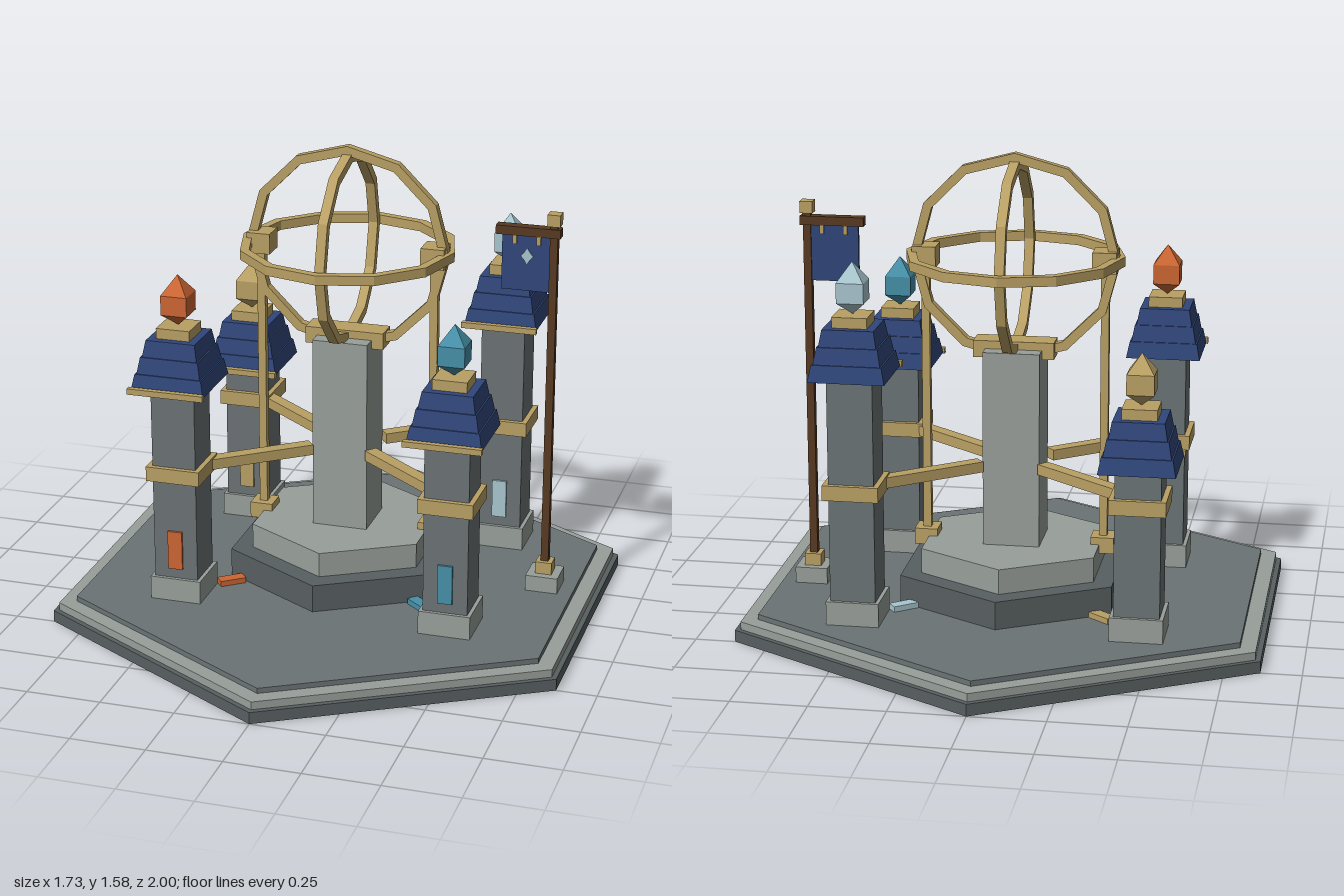
import * as THREE from 'three';

const mat = (name, color) => {
  const m = new THREE.MeshStandardMaterial({ color, flatShading: true });
  m.name = name;
  return m;
};

export function createModel() {
  const stone = mat('stone', 0x6b7375);
  const darkStone = mat('dark stone', 0x585f61);
  const paleStone = mat('pale stone', 0x989f9a);
  const roofBlue = mat('roof blue', 0x30467a);
  const brass = mat('brass', 0xb9a064);
  const wood = mat('wood', 0x583a22);
  const orange = mat('orange', 0xcc6633);
  const teal = mat('teal', 0x4690a8);
  const ice = mat('ice blue', 0xa9c6cf);

  const model = new THREE.Group();
  model.name = 'observatory';
  const CZ = -0.06; // middle of the dais and rings

  const add = (parent, name, geo, material, x = 0, y = 0, z = 0) => {
    const mesh = new THREE.Mesh(geo, material);
    mesh.name = name;
    mesh.position.set(x, y, z);
    parent.add(mesh);
    return mesh;
  };
  // Box given by its bottom and top heights
  const box = (parent, name, material, w, d, y0, y1, x = 0, z = 0) =>
    add(parent, name, new THREE.BoxGeometry(w, y1 - y0, d), material, x, (y0 + y1) / 2, z);
  const hex = (name, material, r, y0, y1, z = 0) =>
    add(model, name, new THREE.CylinderGeometry(r, r, y1 - y0, 6), material, 0, (y0 + y1) / 2, z);
  // Square frustum with sides along the axes
  const frustum = (parent, name, material, wBottom, wTop, y0, y1) => {
    const geo = new THREE.CylinderGeometry(wTop * Math.SQRT1_2, wBottom * Math.SQRT1_2, y1 - y0, 4);
    return add(parent, name, geo.rotateY(Math.PI / 4), material, 0, (y0 + y1) / 2, 0);
  };

  // Platform and dais
  hex('platformFoot', darkStone, 1, 0, 0.04);
  hex('platformRim', paleStone, 0.98, 0.04, 0.067);
  hex('platformFloor', stone, 0.92, 0.067, 0.085);
  hex('daisLower', darkStone, 0.41, 0.085, 0.18, CZ - 0.005);
  hex('daisUpper', paleStone, 0.335, 0.18, 0.265, CZ - 0.005);
  box(model, 'column', paleStone, 0.19, 0.19, 0.265, 0.93, 0, CZ);
  box(model, 'cradle', brass, 0.27, 0.085, 0.9, 0.957, 0, CZ);

  // Three crossed twelve-sided rings of square section
  const rings = new THREE.Group();
  rings.name = 'ringSphere';
  rings.position.set(0, 1.233, CZ - 0.003);
  model.add(rings);
  const ring = (name, outer) => {
    const h = 0.016, inner = outer - 0.031;
    const profile = [[inner, -h], [outer, -h], [outer, h], [inner, h], [inner, -h]]
      .map(([x, y]) => new THREE.Vector2(x, y));
    return add(rings, name, new THREE.LatheGeometry(profile, 12), brass);
  };
  ring('horizonRing', 0.365);
  ring('frontRing', 0.35).rotation.x = Math.PI / 2;
  ring('sideRing', 0.326).rotation.z = Math.PI / 2;

  // Posts carrying the rings
  for (const s of [-1, 1]) {
    box(model, 'ringPost', brass, 0.027, 0.027, 0.265, 1.235, s * 0.3, CZ);
    box(model, 'postFoot', brass, 0.078, 0.08, 0.235, 0.29, s * 0.3, CZ);
    box(model, 'postClamp', brass, 0.08, 0.085, 1.197, 1.267, s * 0.3, CZ);
  }

  // Corner towers, each with its own height and gem colour
  const tower = (name, sx, sz, eave, accent) => {
    const g = new THREE.Group();
    g.name = name;
    g.position.set(sx * 0.465, 0, CZ + sz * 0.37);
    model.add(g);
    box(g, 'plinth', paleStone, 0.175, 0.175, 0.085, 0.165);
    box(g, 'shaft', stone, 0.15, 0.15, 0.165, eave);
    box(g, 'band', brass, 0.185, 0.185, 0.513, 0.563);
    box(g, 'windowPlate', accent, 0.05, 0.009, 0.2, 0.335, 0, 0.079);
    [[0.25, 0.228], [0.218, 0.198], [0.188, 0.168]].forEach(([a, b], i) =>
      frustum(g, 'roofTier', roofBlue, a, b, eave + i * 0.055, eave + (i + 1) * 0.055));
    box(g, 'eaveTrim', brass, 0.26, 0.02, eave - 0.005, eave + 0.015, 0, 0.138);
    box(g, 'roofCap', brass, 0.115, 0.115, eave + 0.165, eave + 0.2);
    const gem = [[0, 0], [0.063, 0.042], [0.063, 0.108], [0, 0.172]]
      .map(([x, y]) => new THREE.Vector2(x, y));
    add(g, 'gem', new THREE.LatheGeometry(gem, 4).rotateY(Math.PI / 4), accent, 0, eave + 0.2, 0);

    // Beam and floor marker on the diagonal towards the column
    const angle = Math.atan2(-sz * 0.37, sx * 0.465);
    const k = 0.6; // midpoint along the diagonal
    const beam = box(model, 'beam', brass, 0.445, 0.045, 0.52, 0.556, sx * 0.465 * k, CZ + sz * 0.37 * k);
    beam.rotation.y = angle;
    const marker = box(model, 'floorMarker', accent, 0.09, 0.04, 0.085, 0.104, sx * 0.333, CZ + sz * 0.265);
    marker.rotation.y = angle;
  };
  tower('frontRightTower', -1, 1, 0.84, orange);
  tower('frontLeftTower', 1, 1, 0.765, teal);
  tower('backRightTower', -1, -1, 0.655, brass);
  tower('backLeftTower', 1, -1, 0.915, ice);

  // Banner on its pole
  const banner = new THREE.Group();
  banner.name = 'bannerStand';
  banner.position.set(0.693, 0, -0.082);
  model.add(banner);
  box(banner, 'poleBase', paleStone, 0.11, 0.11, 0.085, 0.14);
  box(banner, 'poleCollar', brass, 0.056, 0.056, 0.14, 0.182);
  box(banner, 'pole', wood, 0.026, 0.026, 0.182, 1.366);
  box(banner, 'poleCap', brass, 0.043, 0.043, 1.366, 1.406);
  box(banner, 'arm', wood, 0.215, 0.037, 1.326, 1.356, -0.085);
  box(banner, 'cloth', roofBlue, 0.165, 0.014, 1.137, 1.326, -0.09);
  for (const x of [-0.13, -0.05]) box(banner, 'clip', brass, 0.014, 0.03, 1.296, 1.33, x);
  // Four-pointed emblem on the front of the cloth
  const star = new THREE.Shape([[0, 0.029], [-0.011, 0.011], [-0.021, 0], [-0.011, -0.011],
    [0, -0.029], [0.011, -0.011], [0.021, 0], [0.011, 0.011]].map(([x, y]) => new THREE.Vector2(x, y)));
  add(banner, 'emblem', new THREE.ExtrudeGeometry(star, { depth: 0.006, bevelEnabled: false }),
    ice, -0.088, 1.256, 0.006);

  return model;
}
